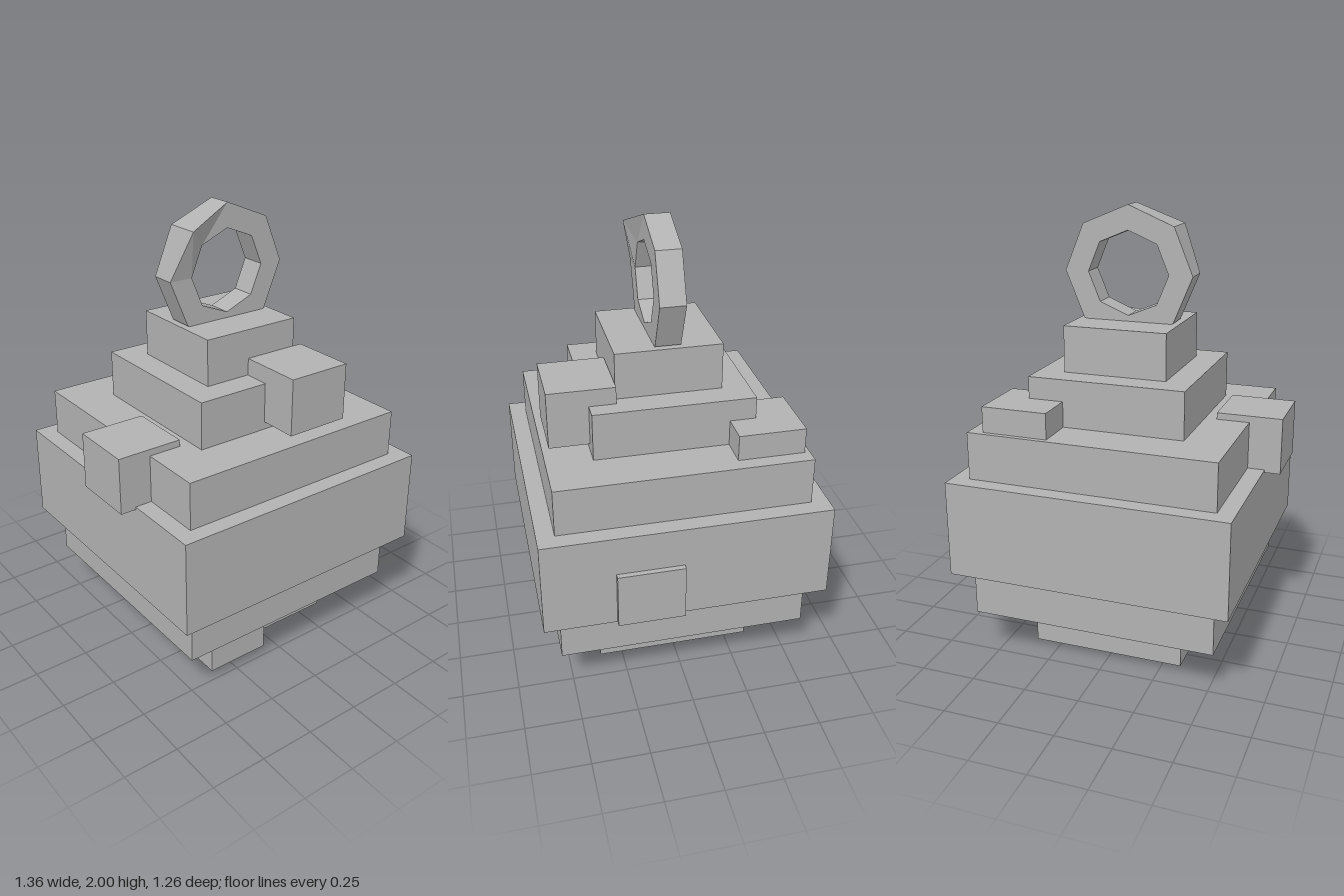
import * as THREE from 'three';

export function createModel() {
  const model = new THREE.Group();
  const grey = new THREE.MeshStandardMaterial({ color: 0xb2b2b2 });
  grey.name = 'grey';

  // Box given by its minimum and maximum corners
  function addBox(name, [x0, y0, z0], [x1, y1, z1]) {
    const mesh = new THREE.Mesh(new THREE.BoxGeometry(x1 - x0, y1 - y0, z1 - z0), grey);
    mesh.position.set((x0 + x1) / 2, (y0 + y1) / 2, (z0 + z1) / 2);
    mesh.name = name;
    model.add(mesh);
  }

  // Stepped body: half width, bottom, top
  const centreX = 0.02;
  const tiers = [
    [0.352, 0, 0.215],
    [0.553, 0.215, 0.43],
    [0.63, 0.43, 0.862],
    [0.553, 0.862, 1.075],
    [0.352, 1.075, 1.288],
    [0.233, 1.288, 1.495],
  ];
  tiers.forEach(([h, y0, y1], i) =>
    addBox('bodyTier' + (i + 1), [centreX - h, y0, -h], [centreX + h, y1, h]));

  // Equal blocks stuck onto the body, by minimum corner
  const blocks = [
    [0, 1.11, 0.235],
    [0.213, 0.935, -0.53],
    [-0.68, 0.85, -0.023],
    [0.38, 0.427, 0.022],
    [-0.385, 0.045, 0.2],
  ];
  blocks.forEach(([x, y, z], i) =>
    addBox('block' + (i + 1), [x, y, z], [x + 0.295, y + 0.255, z + 0.293]));

  // Eight-sided hanging ring with one front corner pulled forward
  const sides = 8, outer = 0.293, inner = 0.185, halfDepth = 0.056;
  const sections = [];
  for (let k = 0; k < sides; k++) {
    const a = (k / sides) * Math.PI * 2;
    const corner = (r, z) => [centreX + r * Math.cos(a), 1.706 + r * Math.sin(a), z];
    sections.push([
      corner(outer, k === 3 ? 0.103 : halfDepth),
      corner(inner, halfDepth),
      corner(inner, -halfDepth),
      corner(outer, -halfDepth),
    ]);
  }
  const points = [];
  for (let k = 0; k < sides; k++) {
    const s = sections[k], t = sections[(k + 1) % sides];
    for (let j = 0; j < 4; j++) {
      const n = (j + 1) % 4;
      points.push(...s[j], ...t[j], ...t[n], ...s[j], ...t[n], ...s[n]);
    }
  }
  const ringGeometry = new THREE.BufferGeometry();
  ringGeometry.setAttribute('position', new THREE.Float32BufferAttribute(points, 3));
  ringGeometry.computeVertexNormals();
  const ring = new THREE.Mesh(ringGeometry, grey);
  ring.name = 'hangingRing';
  model.add(ring);

  return model;
}
